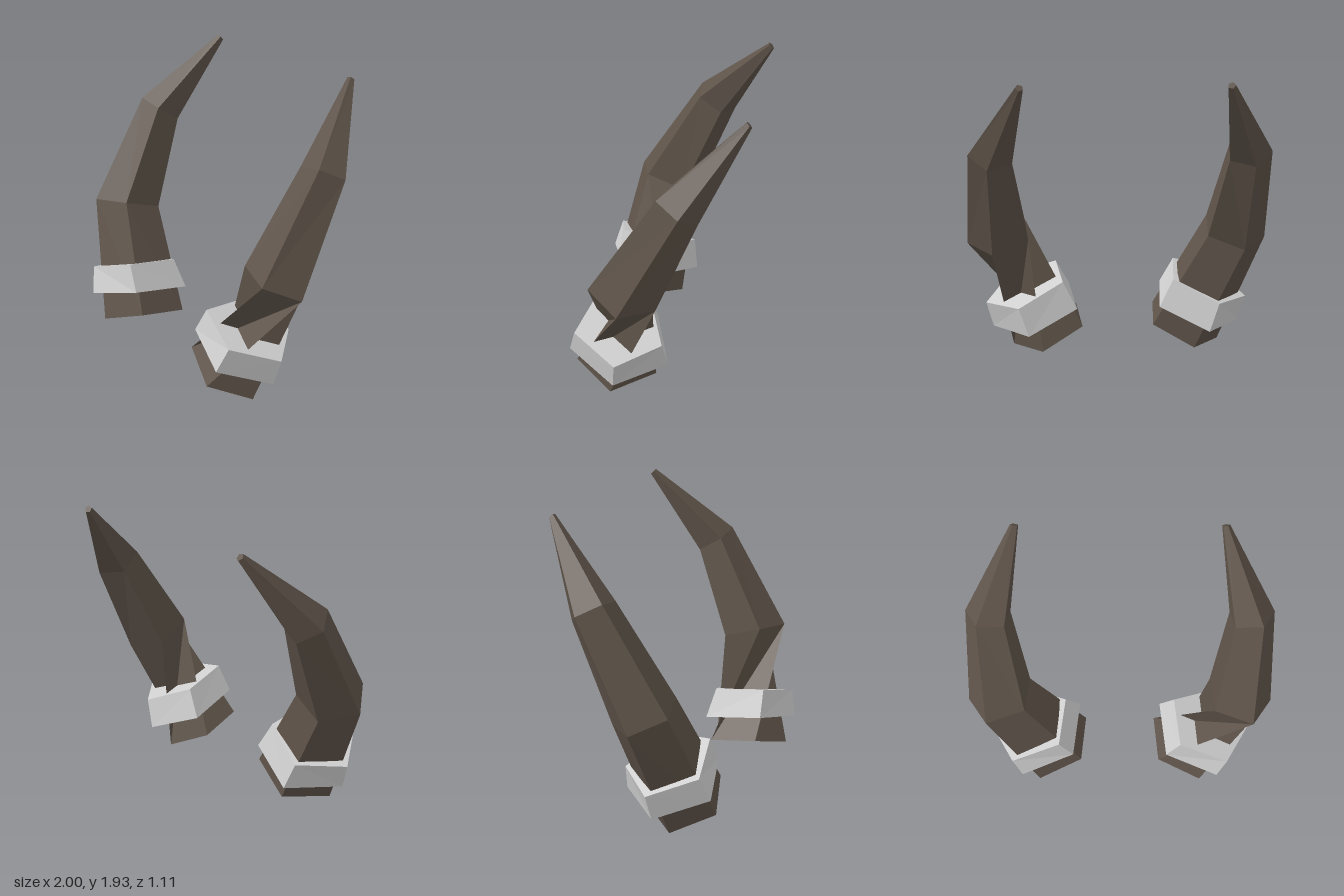
import * as THREE from 'three';

const SIDES = 5;

// Regular pentagon from three neighbouring corners: outer, front, inner
function pentagon(outer, front, inner) {
  const a = new THREE.Vector3(...outer);
  const e = new THREE.Vector3(...front);
  const d = new THREE.Vector3(...inner);
  const phi = (1 + Math.sqrt(5)) / 2;
  const c = a.clone().addScaledVector(d.clone().sub(e), phi);
  const b = c.clone().addScaledVector(a.clone().sub(d), 1 / phi);
  return [a, e, d, c, b];
}

// Closed, faceted skin over a stack of rings. side = -1 mirrors it in x;
// twist shifts the corners joined across the lowest segment.
function loft(rings, side, twist = 0) {
  const positions = [];
  const tri = (p, q, r) => {
    const corners = side > 0 ? [p, q, r] : [p, r, q];
    for (const v of corners) positions.push(v.x * side, v.y, v.z);
  };
  for (let s = 0; s < rings.length - 1; s++) {
    const low = rings[s], high = rings[s + 1];
    const shift = s === 0 ? twist : 0;
    for (let i = 0; i < SIDES; i++) {
      const next = (i + 1) % SIDES;
      const j = (i + shift + SIDES) % SIDES;
      const jNext = (j + 1) % SIDES;
      tri(low[i], high[j], low[next]);
      tri(low[next], high[j], high[jNext]);
    }
  }
  const bottom = rings[0], top = rings[rings.length - 1];
  for (let i = 1; i < SIDES - 1; i++) {
    tri(bottom[0], bottom[i], bottom[i + 1]);
    tri(top[0], top[i + 1], top[i]);
  }
  const geometry = new THREE.BufferGeometry();
  geometry.setAttribute('position', new THREE.Float32BufferAttribute(positions, 3));
  geometry.computeVertexNormals();
  return geometry;
}

export function createModel() {
  const hornBrown = new THREE.MeshStandardMaterial({ color: 0x5e5349 });
  hornBrown.name = 'hornBrown';
  const bandGrey = new THREE.MeshStandardMaterial({ color: 0xd0d0d0 });
  bandGrey.name = 'bandGrey';

  // Horn rings: base, bend, upper bend
  const hornRings = [
    pentagon([0.71, 0.0, 0.29], [0.56, 0.12, 0.54], [0.27, 0.23, 0.43]),
    pentagon([1.0, 0.77, 0.17], [0.87, 0.87, 0.37], [0.62, 0.9, 0.29]),
    pentagon([0.96, 1.44, -0.19], [0.88, 1.515, -0.05], [0.71, 1.48, -0.06]),
  ];
  // Small blunt tip, a shrunken copy of the last ring
  const centre = new THREE.Vector3();
  hornRings[2].forEach((v) => centre.addScaledVector(v, 1 / SIDES));
  hornRings.push(hornRings[2].map((v) => new THREE.Vector3(
    0.627 + (v.x - centre.x) * 0.17,
    1.912 + (v.y - centre.y) * 0.22,
    -0.54 + (v.z - centre.z) * 0.13,
  )));

  // Solid collar around the foot of the horn
  const bandRings = [
    pentagon([0.845, 0.155, 0.24], [0.67, 0.28, 0.555], [0.32, 0.385, 0.44]),
    pentagon([0.89, 0.33, 0.22], [0.73, 0.445, 0.505], [0.41, 0.555, 0.42]),
  ];

  const model = new THREE.Group();
  model.name = 'hornPair';
  for (const side of [1, -1]) {
    const label = side > 0 ? 'left' : 'right';
    const group = new THREE.Group();
    group.name = `${label}HornWithBand`;
    // The left horn is wrung by one corner between base and bend
    const horn = new THREE.Mesh(loft(hornRings, side, side > 0 ? -1 : 0), hornBrown);
    horn.name = `${label}Horn`;
    const band = new THREE.Mesh(loft(bandRings, side), bandGrey);
    band.name = `${label}Band`;
    group.add(horn, band);
    model.add(group);
  }
  return model;
}
